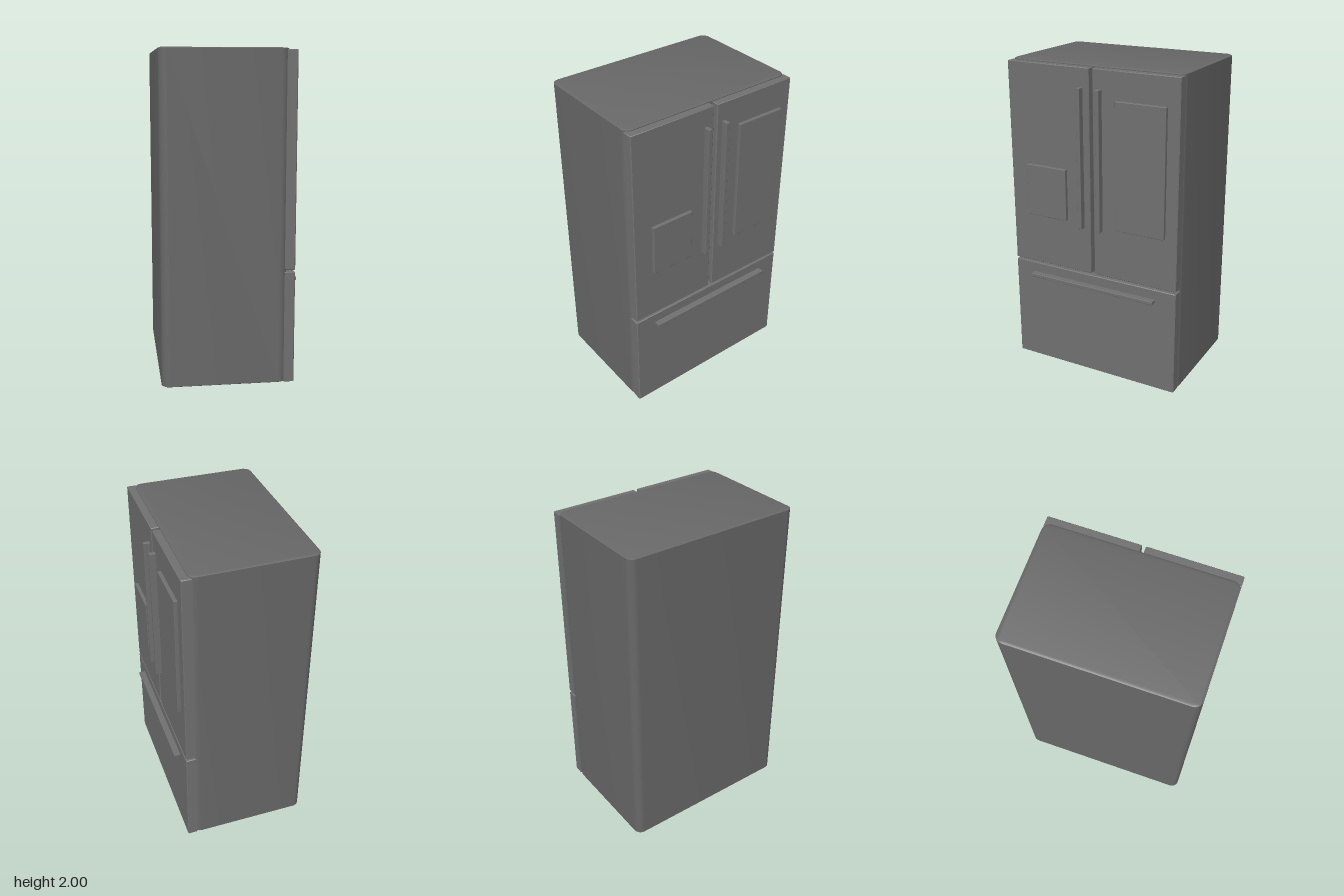
import * as THREE from 'three';
import { toCreasedNormals } from 'three/addons/utils/BufferGeometryUtils.js';
import { RoundedBoxGeometry } from 'three/addons/geometries/RoundedBoxGeometry.js';

const cabinetGrey = new THREE.MeshStandardMaterial({ color: 0x686868 });
const doorGrey = new THREE.MeshStandardMaterial({ color: 0x717171 });
const HALF = 0.574; // half width of the cabinet along z
const BACK = -0.42, BODY_FRONT = 0.335, DOOR_BACK = 0.317, DOOR_FRONT = 0.381;
const R = 0.048; // vertical corner radius of the cabinet

function addMesh(group, name, geometry, material) {
  const mesh = new THREE.Mesh(geometry, material);
  mesh.name = name;
  group.add(mesh);
}

// Extrude a plan outline (shape coordinates x, -z) from y0 up to y1 with eased rims
function prism(shape, y0, y1, rimHeight, rimWidth) {
  const geometry = new THREE.ExtrudeGeometry(shape, {
    depth: y1 - y0 - 2 * rimHeight, curveSegments: 4, bevelEnabled: true,
    bevelThickness: rimHeight, bevelSize: rimWidth, bevelOffset: -rimWidth, bevelSegments: 1,
  });
  geometry.rotateX(-Math.PI / 2).translate(0, y0 + rimHeight, 0);
  return toCreasedNormals(geometry, 0.6);
}

// Rounded rectangle of the cabinet seen from above
function cabinetPlan() {
  const s = new THREE.Shape();
  s.absarc(BODY_FRONT - R, HALF - R, R, 0, Math.PI / 2);
  s.absarc(BACK + R, HALF - R, R, Math.PI / 2, Math.PI);
  s.absarc(BACK + R, -HALF + R, R, Math.PI, Math.PI * 1.5);
  s.absarc(BODY_FRONT - R, -HALF + R, R, Math.PI * 1.5, Math.PI * 2);
  return s;
}

// Door outline from z = a to z = b, let into the cabinet front, with chamfered front corners
function doorPlan(a, b) {
  const c = 0.005;
  return new THREE.Shape([
    [DOOR_BACK, a], [DOOR_FRONT - c, a], [DOOR_FRONT, a + c],
    [DOOR_FRONT, b - c], [DOOR_FRONT - c, b], [DOOR_BACK, b],
  ].map(([x, z]) => new THREE.Vector2(x, -z)));
}

// Softened box given by its limits
function block(x0, x1, y0, y1, z0, z1) {
  const g = new RoundedBoxGeometry(x1 - x0, y1 - y0, z1 - z0, 2, 0.003);
  return g.translate((x0 + x1) / 2, (y0 + y1) / 2, (z0 + z1) / 2);
}

export function createModel() {
  const model = new THREE.Group();
  model.name = 'refrigerator';

  addMesh(model, 'cabinet', prism(cabinetPlan(), 0, 2, 0.005, 0.01), cabinetGrey);

  // Two upper doors, each with an upright handle and a raised panel
  const doors = [
    { name: 'leftDoor', z: [0.008, HALF], handle: [0.05, 0.075], panel: [0.17, 0.45], top: 1.36 },
    { name: 'rightDoor', z: [-HALF, -0.015], handle: [-0.078, -0.053], panel: [-0.498, -0.175], top: 1.82 },
  ];
  for (const d of doors) {
    const group = new THREE.Group();
    group.name = d.name;
    addMesh(group, 'doorSlab', prism(doorPlan(...d.z), 0.7, 1.99, 0.003, 0.003), doorGrey);
    addMesh(group, 'doorHandle', block(0.375, 0.42, 1.0, 1.875, ...d.handle), doorGrey);
    addMesh(group, 'doorPanel', block(0.37, 0.403, 1.03, d.top, ...d.panel), doorGrey);
    model.add(group);
  }

  // Freezer drawer with its long horizontal handle
  const drawer = new THREE.Group();
  drawer.name = 'freezerDrawer';
  addMesh(drawer, 'drawerSlab', prism(doorPlan(-HALF, HALF), 0.003, 0.685, 0.003, 0.003), doorGrey);
  addMesh(drawer, 'drawerHandle', block(0.375, 0.42, 0.6, 0.622, -0.437, 0.437), doorGrey);
  model.add(drawer);

  return model;
}
